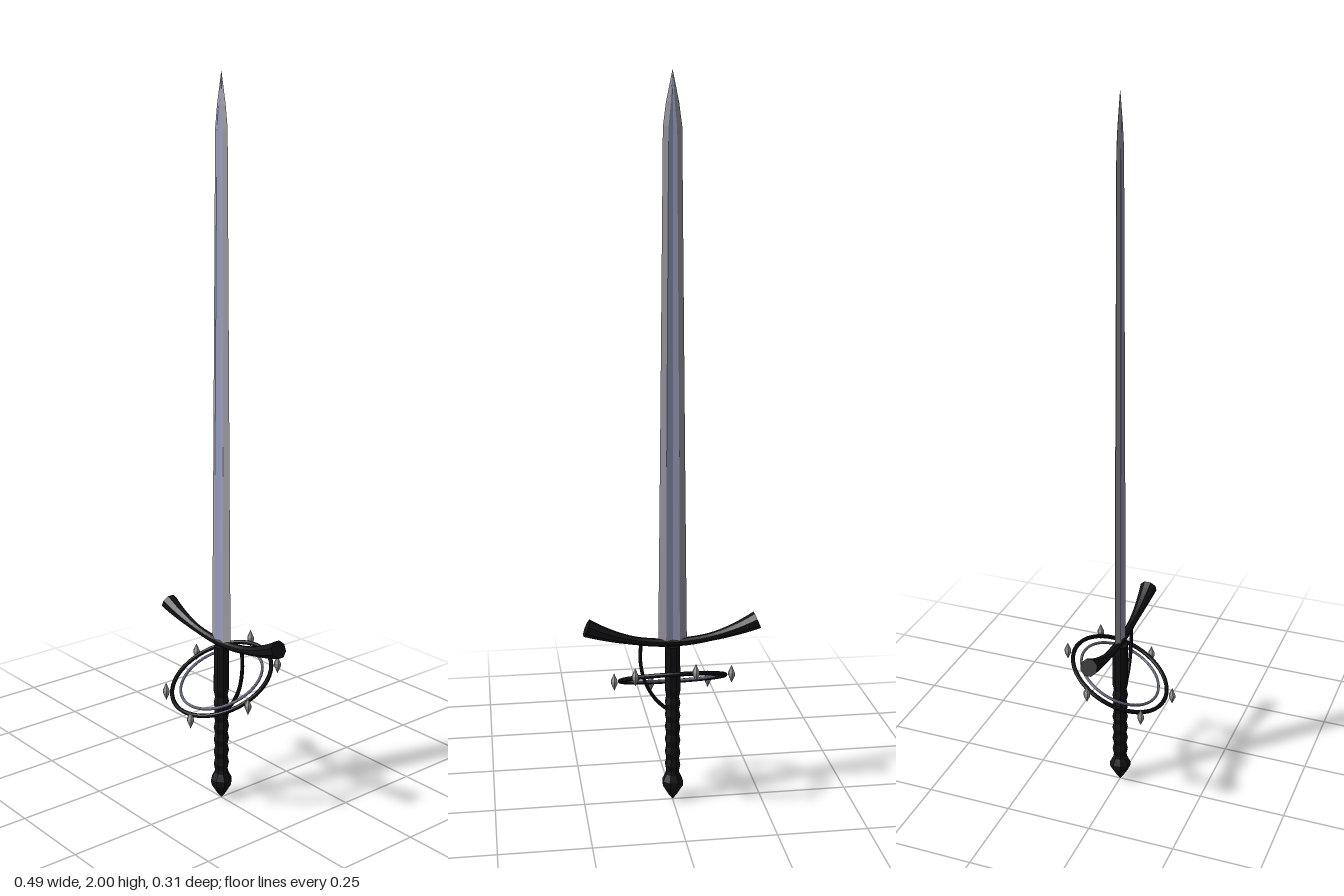
import * as THREE from 'three';

const mat = (color) => new THREE.MeshStandardMaterial({ color, flatShading: true });
const dark = mat(0x121216), steel = mat(0xa3a3a8), blue = mat(0x9a9ec0), spikeGrey = mat(0x9b9b9b);

function add(parent, name, geometry, material) {
  const mesh = new THREE.Mesh(geometry, material);
  mesh.name = name;
  parent.add(mesh);
  return mesh;
}

// Skins a list of equal-length cross-sections; keep(j) selects which strips are made
function loft(rings, closed = false, keep = () => true) {
  const pos = [];
  const tri = (...p) => p.forEach((v) => pos.push(v.x, v.y, v.z));
  const n = rings[0].length;
  for (let i = 0; i < rings.length - 1; i++) {
    for (let j = 0; j < n; j++) {
      if (!keep(j)) continue;
      const k = (j + 1) % n, a = rings[i], b = rings[i + 1];
      tri(a[j], a[k], b[k]);
      tri(a[j], b[k], b[j]);
    }
  }
  if (closed) {
    const a = rings[0], b = rings[rings.length - 1];
    for (let j = 1; j < n - 1; j++) {
      tri(a[0], a[j + 1], a[j]);
      tri(b[0], b[j], b[j + 1]);
    }
  }
  const g = new THREE.BufferGeometry();
  g.setAttribute('position', new THREE.Float32BufferAttribute(pos, 3));
  g.computeVertexNormals();
  return g;
}

export function createModel() {
  const sword = new THREE.Group();
  sword.name = 'sword';

  // Blade: [height, half width, ridge x, ridge z, fuller z]
  const blade = new THREE.Group();
  blade.name = 'blade';
  sword.add(blade);
  const sections = [
    [0.465, 0.04, 0.019, 0.009, 0.006],
    [1.0, 0.034, 0.017, 0.008, 0.005],
    [1.86, 0.025, 0.011, 0.006, 0.004],
    [1.92, 0.017, 0.005, 0.005, 0.004],
    [2.0, 0.0004, 0.0002, 0.0004, 0.0003],
  ].map(([y, w, rx, rz, fz]) => [
    [w, 0], [rx, -rz], [0, -fz], [-rx, -rz], [-w, 0], [-rx, rz], [0, fz], [rx, rz],
  ].map(([x, z]) => new THREE.Vector3(x, y, z)));
  const isBevel = (j) => j % 4 === 0 || j % 4 === 3;
  add(blade, 'bladeEdges', loft(sections, false, isBevel), steel);
  add(blade, 'bladeFuller', loft(sections, false, (j) => !isBevel(j)), blue);

  // Crossguard: upswept octagonal bar flaring at both ends
  const guard = [];
  for (let i = 0; i <= 24; i++) {
    const x = -0.238 + (0.476 * i) / 24;
    const tilt = Math.atan(1.9 * x * 0.95);
    const flare = Math.max(0, (Math.abs(x) - 0.1) / 0.138);
    const r = 0.0115 + 0.0135 * Math.pow(flare, 1.4);
    const ring = [];
    for (let j = 0; j < 8; j++) {
      const a = ((j + 0.5) * Math.PI) / 4, n = r * Math.cos(a);
      ring.push(new THREE.Vector3(x - n * Math.sin(tilt),
        0.47 + 0.95 * x * x + n * Math.cos(tilt), r * Math.sin(a)));
    }
    guard.push(ring);
  }
  add(sword, 'crossguard', loft(guard, true), dark);

  // Grip: ribbed eight-sided handle
  const grip = [new THREE.Vector2(0, 0.07)];
  for (let i = 0; i <= 28; i++) {
    const y = 0.07 + (0.26 * i) / 28;
    grip.push(new THREE.Vector2(0.0205 + 0.002 * Math.cos((i * Math.PI) / 2), y));
  }
  grip.push(new THREE.Vector2(0.0215, 0.46), new THREE.Vector2(0, 0.46));
  add(sword, 'grip', new THREE.LatheGeometry(grip, 8, Math.PI / 8), dark);

  // Pommel: faceted and pointed
  const pommel = [[0, 0], [0.012, 0.015], [0.03, 0.045], [0.03, 0.06], [0.02, 0.08], [0, 0.085]]
    .map(([r, y]) => new THREE.Vector2(r, y));
  add(sword, 'pommel', new THREE.LatheGeometry(pommel, 8, Math.PI / 8), dark);

  // Side bar curving from the guard down to the grip
  const bar = new THREE.CatmullRomCurve3([
    [0.088, 0.475], [0.09, 0.42], [0.078, 0.36], [0.048, 0.305], [0.012, 0.27],
  ].map(([x, y]) => new THREE.Vector3(x, y, 0)));
  add(sword, 'sideBar', new THREE.TubeGeometry(bar, 20, 0.0055, 6), dark);

  // Tilted hand rings
  const tilt = Math.atan(0.48), ringY = 0.365;
  const rings = new THREE.Group();
  rings.name = 'handRings';
  rings.position.y = ringY;
  rings.rotation.x = Math.PI / 2 + tilt;
  sword.add(rings);
  add(rings, 'outerRing', new THREE.TorusGeometry(0.147, 0.006, 8, 48), dark);
  add(rings, 'innerRing', new THREE.TorusGeometry(0.121, 0.004, 8, 48), blue);

  // Upright spindle spikes around the outer ring
  const spindle = [[0, -0.026], [0.01, -0.004], [0.01, 0.004], [0, 0.026]]
    .map(([r, y]) => new THREE.Vector2(r, y));
  const spikeGeometry = new THREE.LatheGeometry(spindle, 6);
  for (let i = 0; i < 6; i++) {
    const a = THREE.MathUtils.degToRad(15 + 60 * i), out = 0.165 * Math.sin(a);
    add(sword, 'ringSpike', spikeGeometry, spikeGrey).position.set(
      0.165 * Math.cos(a), ringY - out * Math.sin(tilt), out * Math.cos(tilt));
  }
  return sword;
}
